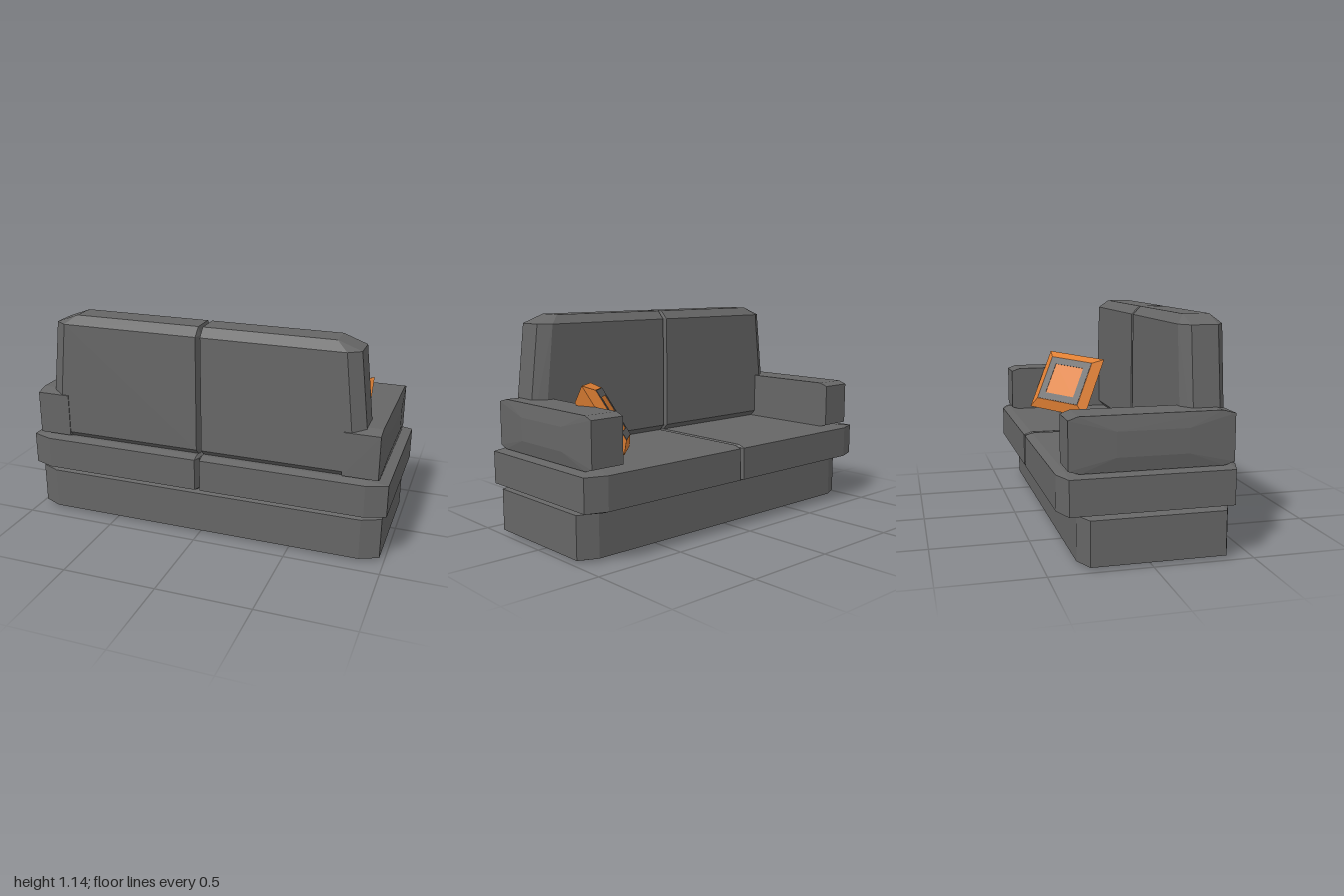
import * as THREE from 'three';
import { ConvexGeometry } from 'three/addons/geometries/ConvexGeometry.js';

const fabric = new THREE.MeshStandardMaterial({ color: 0x666666, flatShading: true });
const orange = new THREE.MeshStandardMaterial({ color: 0xe08034, flatShading: true });

// Corner points of a box with one-step bevels; the x bevel may differ at each end
function bevelPoints([x0, x1], [y0, y1], [z0, z1], bevelX0, bevelX1, by, bz) {
  const points = [];
  for (const [x, inX] of [[x0, x0 + bevelX0], [x1, x1 - bevelX1]]) {
    for (const [y, inY] of [[y0, y0 + by], [y1, y1 - by]]) {
      for (const [z, inZ] of [[z0, z0 + bz], [z1, z1 - bz]]) {
        points.push(
          new THREE.Vector3(x, inY, inZ),
          new THREE.Vector3(inX, y, inZ),
          new THREE.Vector3(inX, inY, z)
        );
      }
    }
  }
  return points;
}

// Four corners of an upright rectangle facing z
function square(half, z) {
  return [[-1, -1], [1, -1], [1, 1], [-1, 1]].map(([a, b]) => new THREE.Vector3(a * half, b * half, z));
}

function addHull(parent, name, points, material = fabric) {
  const mesh = new THREE.Mesh(new ConvexGeometry(points), material);
  mesh.name = name;
  parent.add(mesh);
  return mesh;
}

// Square pillow with sloped borders and a contrasting frame
function makePillow() {
  const pillow = new THREE.Group();
  pillow.name = 'pillow';
  const front = 0.04;
  addHull(pillow, 'pillowBody', [...square(0.197, 0), ...square(0.145, front), ...square(0.145, -0.08)], orange);

  const flat = (half) => square(half, 0).map((p) => new THREE.Vector2(p.x, p.y));
  const frame = new THREE.Shape(flat(0.143));
  frame.holes.push(new THREE.Path(flat(0.1).reverse()));
  const stripe = new THREE.Mesh(
    new THREE.ExtrudeGeometry(frame, { depth: 0.004, bevelEnabled: false }),
    fabric
  );
  stripe.name = 'pillowStripe';
  stripe.position.z = front - 0.001;
  pillow.add(stripe);

  // Lean the pillow back into the corner
  const across = new THREE.Vector3(-0.265, -0.035, 0.29).normalize();
  const facing = across.clone().cross(new THREE.Vector3(0.13, 0.335, 0.16)).normalize();
  const up = facing.clone().cross(across);
  pillow.quaternion.setFromRotationMatrix(new THREE.Matrix4().makeBasis(across, up, facing));
  pillow.position.set(0.611, 0.632, -0.065);
  return pillow;
}

export function createModel() {
  const sofa = new THREE.Group();
  sofa.name = 'sofa';

  addHull(sofa, 'base', bevelPoints([-0.975, 0.975], [0, 0.252], [-0.34, 0.413], 0.1, 0.1, 0.015, 0.045));

  for (const [side, label] of [[1, 'left'], [-1, 'right']]) {
    const add = (part, points) =>
      addHull(sofa, label + part, points.map((p) => new THREE.Vector3(p.x * side, p.y, p.z)));

    add('Seat', bevelPoints([0, 1], [0.254, 0.454], [-0.438, 0.438], 0.014, 0.11, 0.014, 0.04));

    // Armrest with a shallow bulge on its outer side
    const arm = [];
    for (const x of [0.765, 0.948]) {
      for (const [y, z] of [[0.45, -0.34], [0.465, -0.392], [0.697, -0.392], [0.714, -0.345],
        [0.714, 0.345], [0.697, 0.41], [0.465, 0.41], [0.45, 0.36]]) {
        arm.push(new THREE.Vector3(x, y, z));
      }
    }
    for (const y of [0.52, 0.64]) {
      for (const z of [-0.17, 0.18]) arm.push(new THREE.Vector3(0.962, y, z));
    }
    add('Armrest', arm);

    // Back cushion narrows upward, most of all at its top face
    const back = bevelPoints([0, 0.9], [0.44, 1.145], [0.182, 0.406], 0.014, 0.07, 0.045, 0.045);
    for (const p of back) {
      p.x *= 1 - 0.13 * (p.y - 0.45);
      if (p.y > 1.12) p.x *= 0.93;
    }
    add('BackCushion', back);
  }

  sofa.add(makePillow());
  return sofa;
}
